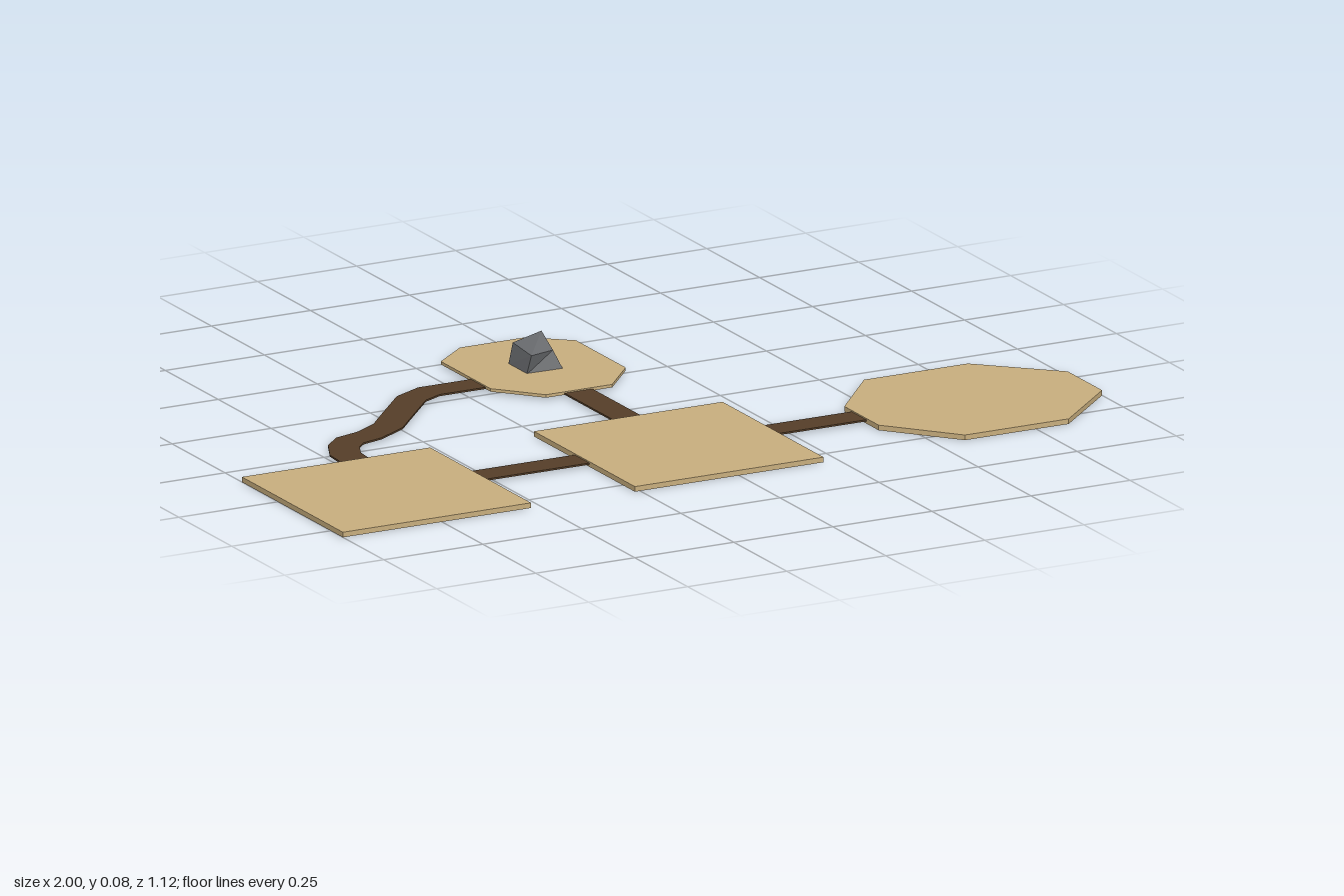
import * as THREE from 'three';

const material = (color) => new THREE.MeshStandardMaterial({ color, flatShading: true });

// Flat slab from an outline of [x, z] points, between two heights
function slab(name, outline, y0, y1, mat) {
  const pts = outline.map(([x, z]) => new THREE.Vector2(x, -z));
  const geo = new THREE.ExtrudeGeometry(new THREE.Shape(pts), { depth: y1 - y0, bevelEnabled: false });
  geo.rotateX(-Math.PI / 2).translate(0, y0, 0);
  const mesh = new THREE.Mesh(geo, mat);
  mesh.name = name;
  return mesh;
}

const rectangle = (x0, x1, z0, z1) => [[x0, z0], [x1, z0], [x1, z1], [x0, z1]];

// Rectangle with its four corners cut by cutX (left, right) and cutZ
const octagon = (x0, x1, z0, z1, cl, cr, cz0, cz1) => [
  [x0 + cl, z0], [x1 - cr, z0], [x1, z0 + cz0], [x1, z1 - cz1],
  [x1 - cr, z1], [x0 + cl, z1], [x0, z1 - cz1], [x0, z0 + cz0],
];

// Outline of a strip of constant width along a centre line
function strip(line, width) {
  const left = [], right = [];
  const dir = (a, b) => new THREE.Vector2(b[0] - a[0], b[1] - a[1]).normalize();
  line.forEach((p, i) => {
    const a = dir(line[Math.max(i - 1, 0)], line[Math.max(i, 1)]);
    const last = line.length - 1;
    const b = dir(line[Math.min(i, last - 1)], line[Math.min(i + 1, last)]);
    const t = a.clone().add(b).normalize();
    const r = width / 2 / t.dot(a);
    left.push([p[0] + t.y * r, p[1] - t.x * r]);
    right.unshift([p[0] - t.y * r, p[1] + t.x * r]);
  });
  return [...left, ...right];
}

export function createModel() {
  const group = new THREE.Group();
  const sand = material(0xc8ae7e), earth = material(0x553e28), stone = material(0x686a6d);

  // Platforms
  group.add(
    slab('rightSquarePlatform', rectangle(-1, -0.525, 0.08, 0.557), 0, 0.012, sand),
    slab('middleSquarePlatform', rectangle(-0.263, 0.213, 0.08, 0.557), 0, 0.012, sand),
    slab('largeOctagonPlatform', octagon(0.436, 1, 0.08, 0.557, 0.134, 0.168, 0.158, 0.157), 0, 0.012, sand),
    slab('smallOctagonPlatform', octagon(-0.195, 0.146, -0.56, -0.153, 0.087, 0.087, 0.073, 0.099), 0.005, 0.012, sand),
  );

  // Paths, ending just inside the platforms
  const winding = [
    [-0.714, 0.09], [-0.709, 0.024], [-0.684, -0.03], [-0.652, -0.062], [-0.594, -0.078], [-0.524, -0.12],
    [-0.476, -0.174], [-0.428, -0.227], [-0.38, -0.28], [-0.32, -0.31], [-0.18, -0.31],
  ];
  const paths = {
    rightPath: [[-0.54, 0.307], [-0.25, 0.307]],
    leftPath: [[0.2, 0.307], [0.45, 0.307]],
    backPath: [[-0.026, 0.09], [-0.026, -0.17]],
    windingPath: winding,
  };
  for (const [name, line] of Object.entries(paths)) {
    group.add(slab(name, strip(line, 0.07), 0.005, 0.009, earth));
  }

  // Boulder: a box with its corners moved
  const corners = {
    '-1,-1,1': [-0.07, 0.01, -0.315], '1,-1,1': [0.02, 0.01, -0.312],
    '-1,-1,-1': [-0.07, 0.01, -0.402], '1,-1,-1': [0.02, 0.01, -0.406],
    '-1,1,1': [-0.063, 0.055, -0.306], '1,1,1': [0.003, 0.053, -0.328],
    '-1,1,-1': [-0.06, 0.06, -0.4], '1,1,-1': [0.008, 0.08, -0.392],
  };
  const rock = new THREE.BoxGeometry(2, 2, 2).toNonIndexed();
  const pos = rock.attributes.position;
  for (let i = 0; i < pos.count; i++) {
    pos.setXYZ(i, ...corners[[pos.getX(i), pos.getY(i), pos.getZ(i)].join(',')]);
  }
  rock.computeVertexNormals();
  const boulder = new THREE.Mesh(rock, stone);
  boulder.name = 'boulder';
  group.add(boulder);

  return group;
}
